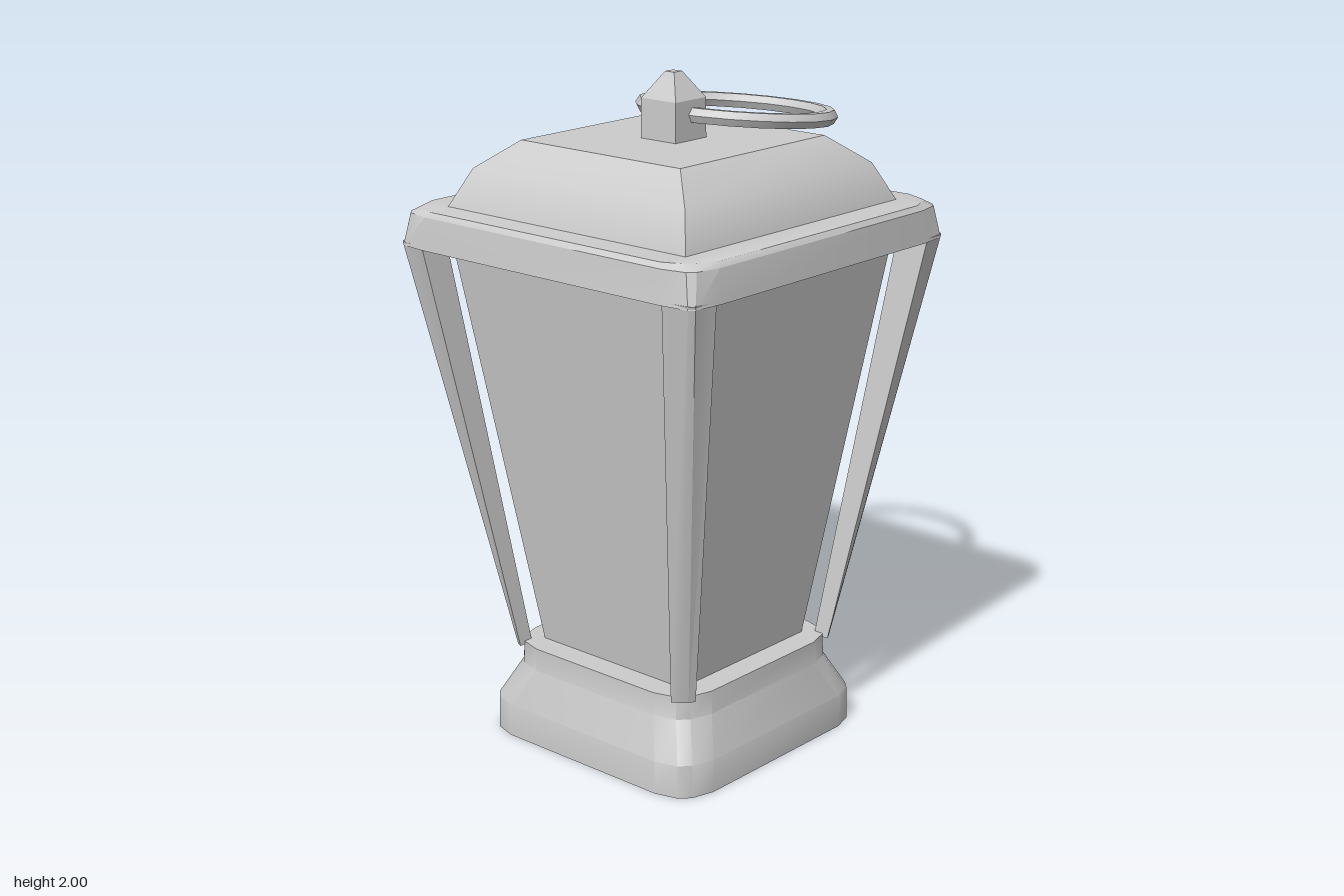
import * as THREE from 'three';
import { toCreasedNormals } from 'three/addons/utils/BufferGeometryUtils.js';

const material = new THREE.MeshStandardMaterial({ color: 0xcccccc });

function part(name, geometry) {
  const mesh = new THREE.Mesh(toCreasedNormals(geometry, 0.52), material);
  mesh.name = name;
  return mesh;
}

// Closed solid through horizontal sections: [y, [[x, z], ...]] from bottom to top
function loft(sections) {
  const pos = [];
  const first = sections[0][1];
  const n = first.length;
  let area = 0;
  first.forEach(([x, z], i) => {
    const [x2, z2] = first[(i + 1) % n];
    area += x * z2 - x2 * z;
  });
  // Seen from above (z down), every loop runs the same way round
  const rings = sections.map(([y, pts]) => {
    const ring = pts.map(([x, z]) => [x, y, z]);
    return area > 0 ? ring.reverse() : ring;
  });
  for (let s = 0; s < rings.length - 1; s++) {
    for (let i = 0; i < n; i++) {
      const j = (i + 1) % n;
      const a = rings[s][i], b = rings[s][j], c = rings[s + 1][j], d = rings[s + 1][i];
      pos.push(...a, ...b, ...c, ...a, ...c, ...d);
    }
  }
  const bottom = rings[0], top = rings[rings.length - 1];
  for (let i = 1; i < n - 1; i++) {
    pos.push(...top[0], ...top[i], ...top[i + 1]);
    pos.push(...bottom[0], ...bottom[i + 1], ...bottom[i]);
  }
  const geometry = new THREE.BufferGeometry();
  geometry.setAttribute('position', new THREE.Float32BufferAttribute(pos, 3));
  return geometry;
}

const rect = (x, z = x) => [[x, z], [-x, z], [-x, -z], [x, -z]];

// Square of half width h with eased corners: starts at a, nearly reaches the corner (c, d)
function easedSquare(h, a, c, d) {
  const corner = [[h, h - a], [h - d, h - c], [h - c, h - d], [h - a, h]];
  const pts = [];
  for (let q = 0; q < 4; q++) {
    for (const [x, z] of corner) {
      pts.push([[x, z], [-z, x], [-x, -z], [z, -x]][q]);
    }
  }
  return pts;
}

export function createModel() {
  const model = new THREE.Group();
  model.name = 'lantern';
  const body = new THREE.Group();
  body.name = 'body';
  body.position.z = 0.005;
  model.add(body);

  // Flared foot with a straight neck
  const foot = (h) => easedSquare(h, 0.12, 0.05, 0.02);
  body.add(part('base', loft([
    [0, foot(0.412)], [0.1, foot(0.41)], [0.21, foot(0.357)], [0.28, foot(0.355)],
  ])));

  // Tapered inner pane box
  body.add(part('panes', loft([[0.27, rect(0.275)], [1.52, rect(0.45)]])));

  // Four leaning corner posts
  const postSection = (h, ix, iz, c, sx, sz) =>
    [[ix, iz], [h, iz], [h - c / 3, h - c], [h - c, h - c / 3], [ix, h]].map(([x, z]) => [x * sx, z * sz]);
  for (const sx of [1, -1]) {
    for (const sz of [1, -1]) {
      body.add(part('cornerPost', loft([
        [0.27, postSection(0.354, 0.303, 0.305, 0.03, sx, sz)],
        [1.52, postSection(0.562, 0.456, 0.466, 0.02, sx, sz)],
      ])));
    }
  }

  // Rim slab above the panes
  body.add(part('rim', loft([
    [1.51, easedSquare(0.565, 0.11, 0.025, 0.01)],
    [1.605, easedSquare(0.556, 0.11, 0.035, 0.016)],
    [1.62, easedSquare(0.545, 0.11, 0.05, 0.025)],
  ])));

  // Domed square roof
  body.add(part('roof', loft([
    [1.61, rect(0.452, 0.463)], [1.62, rect(0.45, 0.461)], [1.73, rect(0.4, 0.407)], [1.81, rect(0.3, 0.312)],
  ])));

  // Pointed knob that carries the ring
  body.add(part('finial', loft([
    [1.8, rect(0.066)], [1.925, rect(0.065)], [2, rect(0.017)],
  ])));

  // Carrying ring, resting backwards
  const ring = part('carryRing', new THREE.TorusGeometry(0.274, 0.024, 6, 20));
  ring.rotation.x = Math.PI / 2 - 0.105;
  ring.position.set(0, 1.853, -0.272);
  model.add(ring);

  return model;
}
